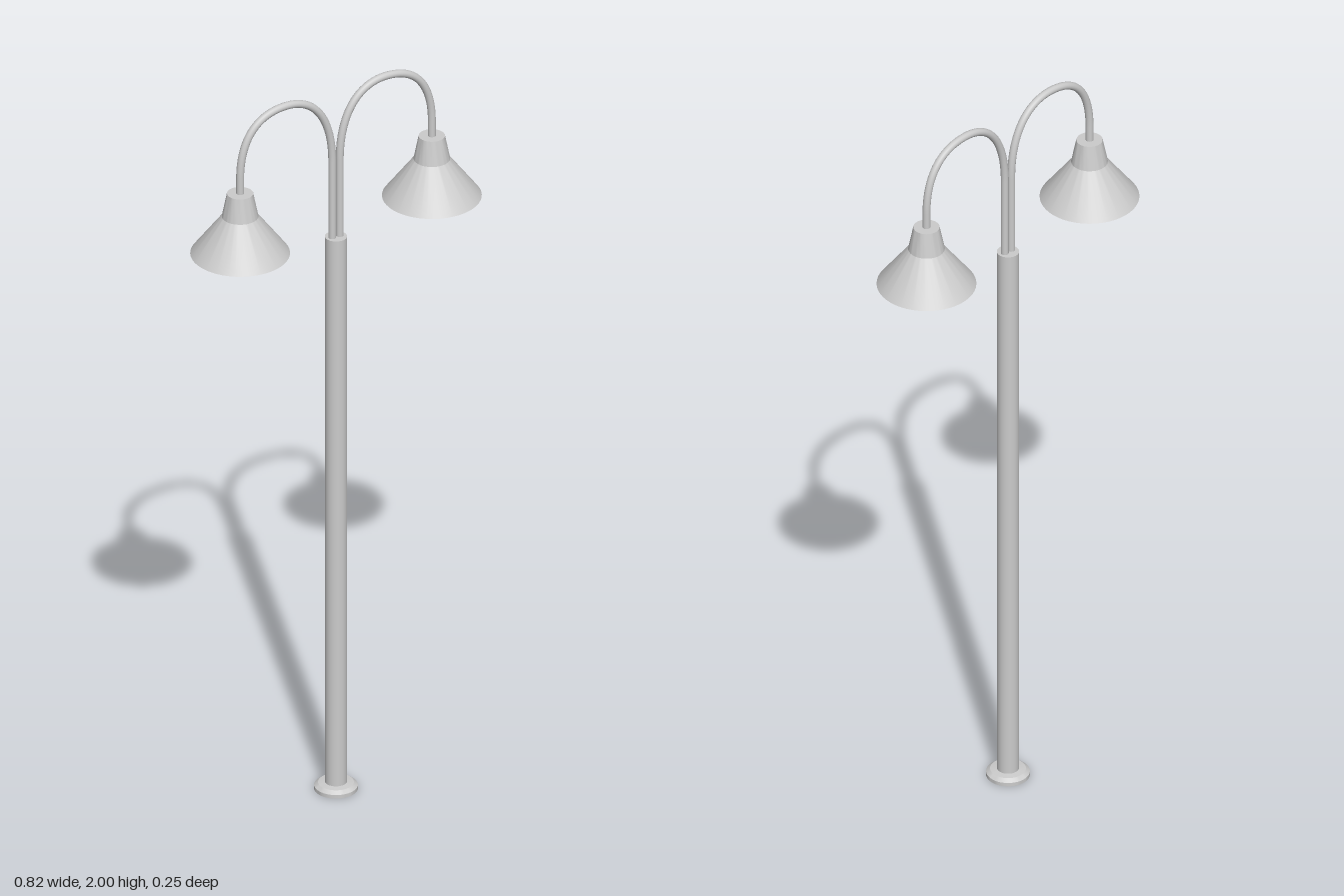
import * as THREE from 'three';
import { toCreasedNormals } from 'three/addons/utils/BufferGeometryUtils.js';

const solid = new THREE.MeshStandardMaterial({ color: 0xcccccc });
const thin = new THREE.MeshStandardMaterial({ color: 0xcccccc, side: THREE.DoubleSide });
const v = (x, y) => new THREE.Vector3(x, y, 0);

function part(name, geometry, material = solid) {
  const mesh = new THREE.Mesh(geometry, material);
  mesh.name = name;
  return mesh;
}

// Revolved profile, listed from bottom to top, with sharp edges kept
function turned(points, segments = 40) {
  const profile = points.map(([r, y]) => new THREE.Vector2(r, y));
  return toCreasedNormals(new THREE.LatheGeometry(profile, segments), 0.4);
}

// Gooseneck tube: up from the pole, over the arch and down into the shade
function armGeometry(side) {
  const path = new THREE.CurvePath();
  const start = 0.011 * side, mid = 0.147 * side, end = 0.283 * side;
  path.add(new THREE.LineCurve3(v(start, 1.56), v(start, 1.79)));
  path.add(new THREE.CubicBezierCurve3(v(start, 1.79), v(start, 1.92), v(0.065 * side, 1.99), v(mid, 1.99)));
  path.add(new THREE.CubicBezierCurve3(v(mid, 1.99), v(0.235 * side, 1.99), v(end, 1.93), v(end, 1.82)));
  path.add(new THREE.LineCurve3(v(end, 1.82), v(end, 1.77)));
  return new THREE.TubeGeometry(path, 80, 0.01, 14, false);
}

// One arm with its shade, socket and bulb
function createLamp(side) {
  const lamp = new THREE.Group();
  lamp.name = side > 0 ? 'leftLamp' : 'rightLamp';
  lamp.add(part('arm', armGeometry(side)));

  const head = new THREE.Group();
  head.name = 'lampHead';
  head.position.x = 0.283 * side;
  head.add(part('shade', turned([[0.125, 1.61], [0.046, 1.715], [0.033, 1.78], [0, 1.78]], 48), thin));

  const socket = part('socket', new THREE.CylinderGeometry(0.016, 0.016, 0.11, 20));
  socket.position.y = 1.72;
  const bulb = part('bulb', new THREE.SphereGeometry(0.032, 28, 18));
  bulb.position.y = 1.645;
  head.add(socket, bulb);

  lamp.add(head);
  return lamp;
}

export function createModel() {
  const model = new THREE.Group();
  model.name = 'streetLamp';

  // Base flange, hollow underneath
  model.add(part('baseFlange', turned([[0.055, 0], [0.055, 0.01], [0.045, 0.018], [0.028, 0.02]]), thin));

  // Main pole
  const pole = part('pole', new THREE.CylinderGeometry(0.028, 0.028, 1.57, 32));
  pole.position.y = 0.79;
  model.add(pole);

  // Mirrored pair of lamps
  for (const side of [-1, 1]) model.add(createLamp(side));

  return model;
}
